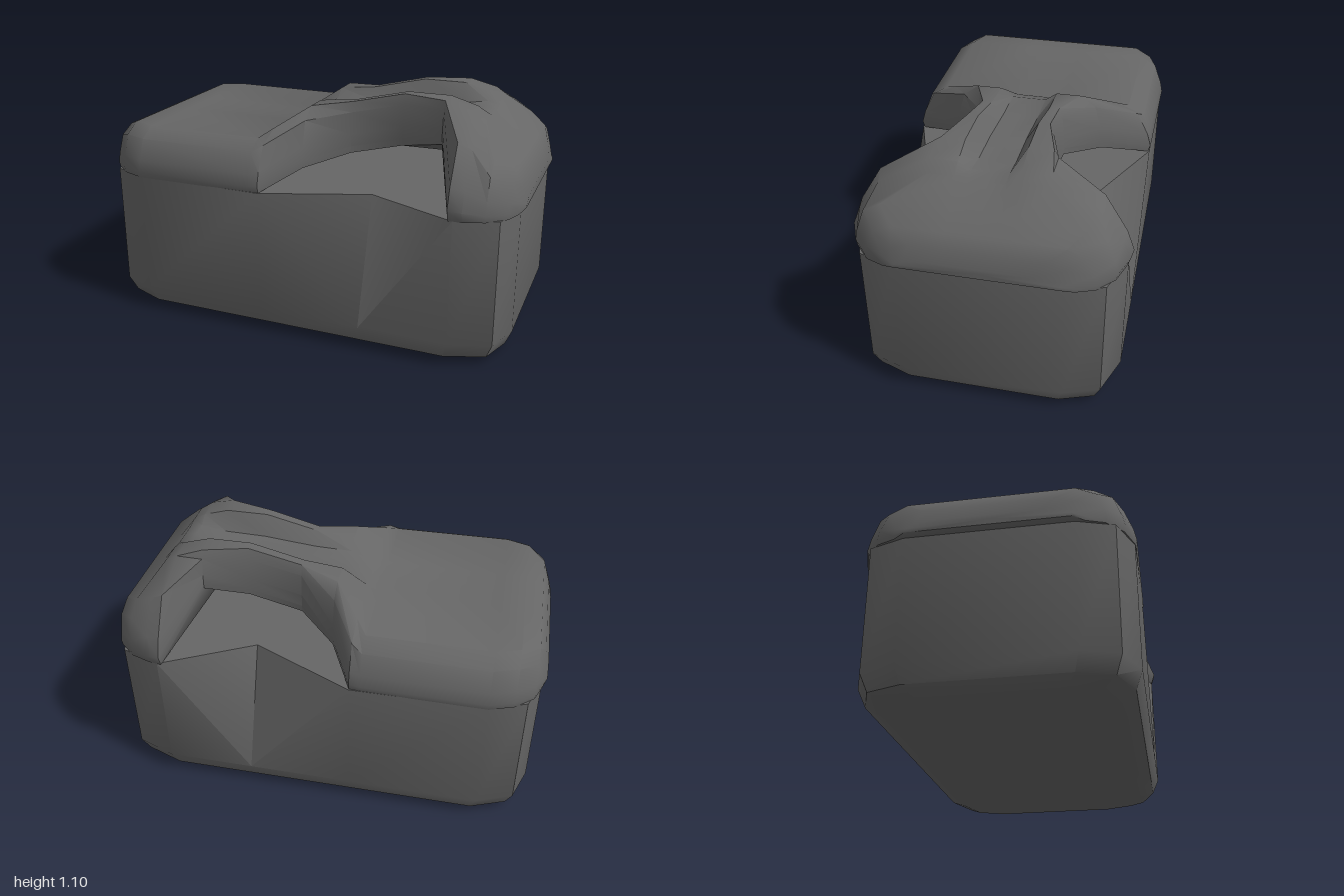
import * as THREE from 'three';
import { toCreasedNormals } from 'three/addons/utils/BufferGeometryUtils.js';

const grey = new THREE.MeshStandardMaterial({ color: 0x666666 });
grey.name = 'dark grey plastic';

// Skins closed rings of [x, y, z] points and caps both ends with fans.
// flip(r, i) chooses the other diagonal of a quad.
function loft(rings, flip = () => false) {
  const n = rings[0].length;
  const pos = rings.flat(2);
  const index = [];
  for (let r = 0; r < rings.length - 1; r++) {
    for (let i = 0; i < n; i++) {
      const a = r * n + i, b = r * n + (i + 1) % n, c = b + n, d = a + n;
      if (flip(r, i)) index.push(a, b, d, b, c, d);
      else index.push(a, b, c, a, c, d);
    }
  }
  [0, rings.length - 1].forEach((r, end) => {
    const centre = [0, 1, 2].map(k => rings[r].reduce((s, p) => s + p[k], 0) / n);
    const c = pos.length / 3;
    pos.push(...centre);
    for (let i = 0; i < n; i++) {
      const a = r * n + i, b = r * n + (i + 1) % n;
      if (end) index.push(a, b, c); else index.push(b, a, c);
    }
  });
  const geo = new THREE.BufferGeometry();
  geo.setAttribute('position', new THREE.Float32BufferAttribute(pos, 3));
  geo.setIndex(index);
  return toCreasedNormals(geo, 0.75);
}

function part(name, geo) {
  const mesh = new THREE.Mesh(geo, grey);
  mesh.name = name;
  return mesh;
}

// Tub: rounded plan, with a V-shaped dent in the top of each long side
function tub() {
  const front = [[-0.98, 0.36], [-0.925, 0.52], [-0.76, 0.587], [-0.15, 0.587],
    [0.33, 0.587], [0.74, 0.587], [0.925, 0.52], [0.98, 0.36]];
  const plan = [...front, ...front.map(([x, z]) => [x, -z]).reverse()];
  const ring = (y, inset) => plan.map(([x, z]) => [
    x * (1 - inset / 0.98), y, z * (1 - inset / 0.587)]);
  const rim = ring(0.687, 0);
  rim[4][2] = 0.41;
  rim[11][2] = -0.36;
  // both creases of a dent run down to its foot
  return loft([ring(0, 0.105), ring(0.035, 0.03), ring(0.11, 0), rim],
    (r, i) => r === 2 && (i === 3 || i === 10));
}

// Lid section at x: a rounded wall from the lower edge (z0, y0) up to the
// shoulder (z1, y1), then a ridge and a groove; low and top are on the centreline
function section(x, z0, y0, z1, y1, low, top) {
  const wall = (f, g) => [z0 + (z1 - z0) * f, y0 + (y1 - y0) * g];
  const half = [wall(0, 0), wall(-0.05, 0.13), wall(0.05, 0.37), wall(0.35, 0.8),
    wall(1, 1), [0.135, y1], [0.08, top]];
  return [
    [x, low, 0], ...half.map(([z, y]) => [x, y, -z]),
    [x, top, 0], ...half.map(([z, y]) => [x, y, z]).reverse(),
  ];
}

// Full-width, flat-topped section
const block = (x, w, top, low = 0.685) =>
  section(x, w - 0.01, low, w - 0.13, top, low, top);

// Lid: solid ends joined by an arched, grooved handle
function lid() {
  return loft([
    block(-1, 0.36, 0.745, 0.7),
    block(-0.98, 0.41, 0.81),
    block(-0.95, 0.49, 0.87),
    block(-0.87, 0.56, 0.905),
    block(-0.76, 0.6, 0.905),
    block(-0.2, 0.595, 0.905),
    section(-0.15, 0.58, 0.685, 0.4, 0.94, 0.685, 0.93),
    section(-0.03, 0.36, 0.75, 0.25, 1.02, 0.75, 0.98),
    section(0.15, 0.205, 0.8, 0.18, 1.04, 0.8, 0.985),
    section(0.4, 0.21, 0.865, 0.185, 1.1, 0.865, 1.01),
    section(0.6, 0.27, 0.91, 0.24, 1.1, 0.8, 1.015),
    section(0.72, 0.588, 0.685, 0.26, 1.065, 0.688, 1.035),
    section(0.78, 0.58, 0.685, 0.25, 1.03, 0.685, 1.02),
    block(0.87, 0.56, 0.915),
    block(0.95, 0.49, 0.87),
    block(0.98, 0.41, 0.81),
    block(1, 0.36, 0.745, 0.7),
  ]);
}

export function createModel() {
  const model = new THREE.Group();
  model.name = 'handledContainer';
  model.add(part('tub', tub()), part('lidWithHandle', lid()));
  return model;
}
